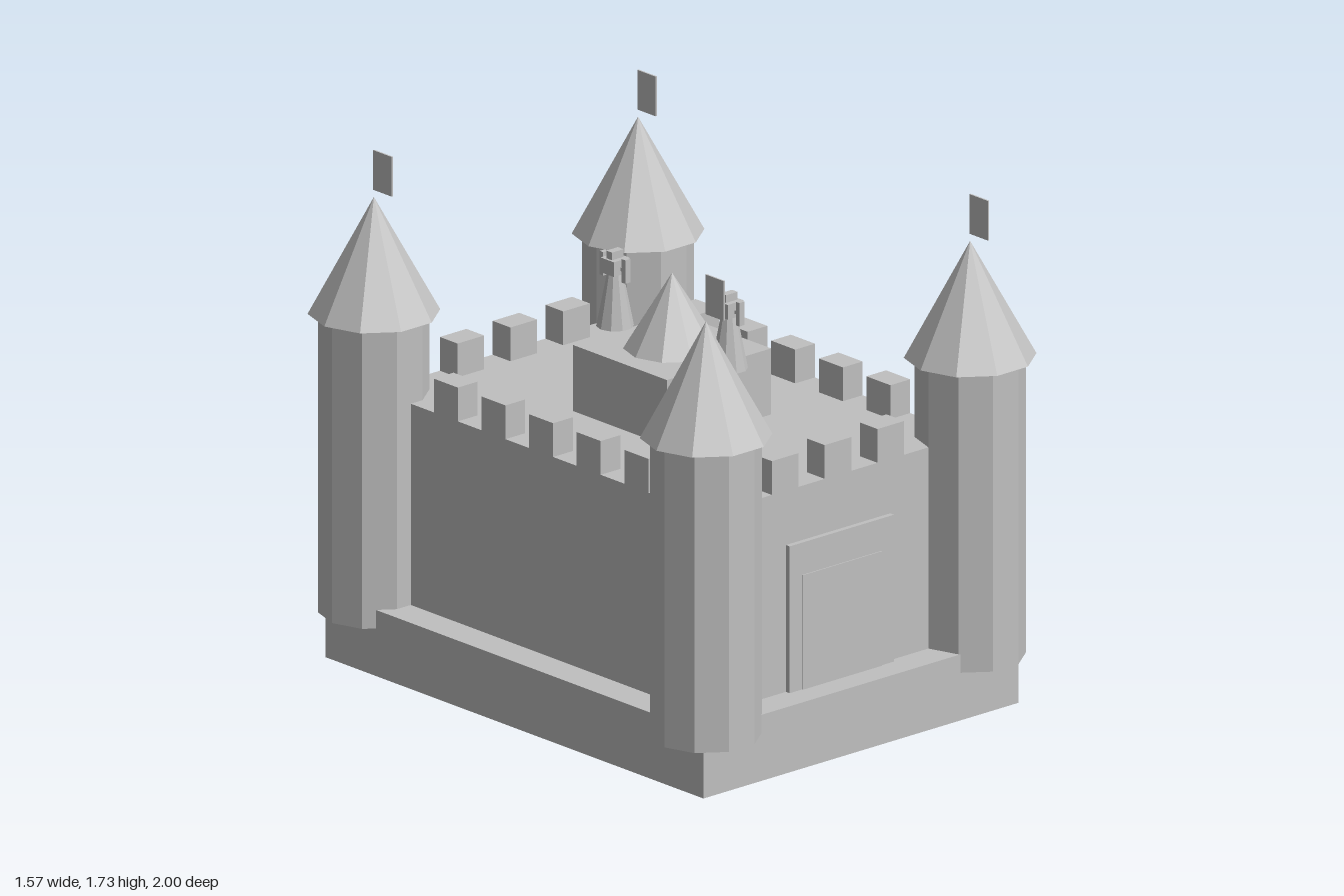
import * as THREE from 'three';

export function createModel() {
  const root = new THREE.Group();
  root.name = 'castle';
  const stone = new THREE.MeshStandardMaterial({ color: 0xc0c0c0, flatShading: true, side: THREE.DoubleSide });
  stone.name = 'grey stone';

  function add(parent, name, geometry, x = 0, y = 0, z = 0) {
    const mesh = new THREE.Mesh(geometry, stone);
    mesh.name = name;
    mesh.position.set(x, y, z);
    parent.add(mesh);
    return mesh;
  }
  // Box standing on height y
  const block = (parent, name, w, h, d, x, y, z) =>
    add(parent, name, new THREE.BoxGeometry(w, h, d), x, y + h / 2, z);
  // Ten-sided drum or cone standing on height y, with corners on the x axis
  const drum = (parent, name, rTop, rBottom, h, x, y, z) => {
    const g = rTop > 0 ? new THREE.CylinderGeometry(rTop, rBottom, h, 10) : new THREE.ConeGeometry(rBottom, h, 10);
    return add(parent, name, g.rotateY(Math.PI / 2), x, y + h / 2, z);
  };
  const group = (name) => {
    const g = new THREE.Group();
    g.name = name;
    root.add(g);
    return g;
  };

  // Hollow plinth, open underneath (bottom face dropped)
  const plinth = new THREE.BoxGeometry(1.36, 0.225, 1.81);
  const faces = Array.from(plinth.index.array);
  faces.splice(18, 6);
  plinth.setIndex(faces);
  plinth.clearGroups();
  add(root, 'plinth', plinth, 0, 0.1125, 0);

  // Main walls and the keep on the roof
  block(root, 'walls', 1.13, 0.685, 1.59, 0, 0.225, 0);
  block(root, 'keep', 0.45, 0.225, 0.45, 0, 0.91, 0);
  drum(root, 'keepRoof', 0, 0.158, 0.252, 0, 1.135, 0);

  // Battlements along all four walls
  const battlements = group('battlements');
  for (const s of [-1, 1]) {
    for (let i = -1; i <= 1; i++) block(battlements, 'merlon', 0.115, 0.115, 0.085, i * 0.228, 0.91, s * 0.7525);
    for (let i = -2; i <= 2; i++) block(battlements, 'merlon', 0.085, 0.115, 0.115, s * 0.5225, 0.91, i * 0.228);
  }

  // Gate with a raised inner door, front and back
  for (const s of [-1, 1]) {
    const gate = group(s > 0 ? 'frontGate' : 'backGate');
    block(gate, 'gateFrame', 0.45, 0.5, 0.018, 0, 0.225, s * 0.804);
    block(gate, 'gateDoor', 0.34, 0.39, 0.004, 0, 0.225, s * 0.815);
  }

  // Corner towers with pointed roofs and flags flying forward
  for (const sx of [-1, 1]) {
    for (const sz of [-1, 1]) {
      const tower = group('cornerTower');
      const x = sx * 0.57, z = sz * 0.795;
      drum(tower, 'towerShaft', 0.18, 0.18, 1.02, x, 0.162, z);
      drum(tower, 'towerRoof', 0, 0.214, 0.39, x, 1.18, z);
      block(tower, 'flag', 0.006, 0.135, 0.088, x, 1.595, z + 0.044);
    }
  }

  // Small sentries beside the keep roof
  for (const s of [-1, 1]) {
    const sentry = group('sentry');
    const z = s * 0.273;
    drum(sentry, 'sentryBody', 0.026, 0.061, 0.18, 0, 1.135, z);
    block(sentry, 'sentryHead', 0.068, 0.05, 0.064, 0, 1.316, z);
    block(sentry, 'sentryCap', 0.05, 0.026, 0.027, 0, 1.366, z);
    block(sentry, 'sentryAxle', 0.012, 0.012, 0.1, 0, 1.33, z);
    for (const side of [-1, 1]) block(sentry, 'sentryPlate', 0.022, 0.08, 0.017, 0, 1.295, z + side * 0.053);
  }

  return root;
}
